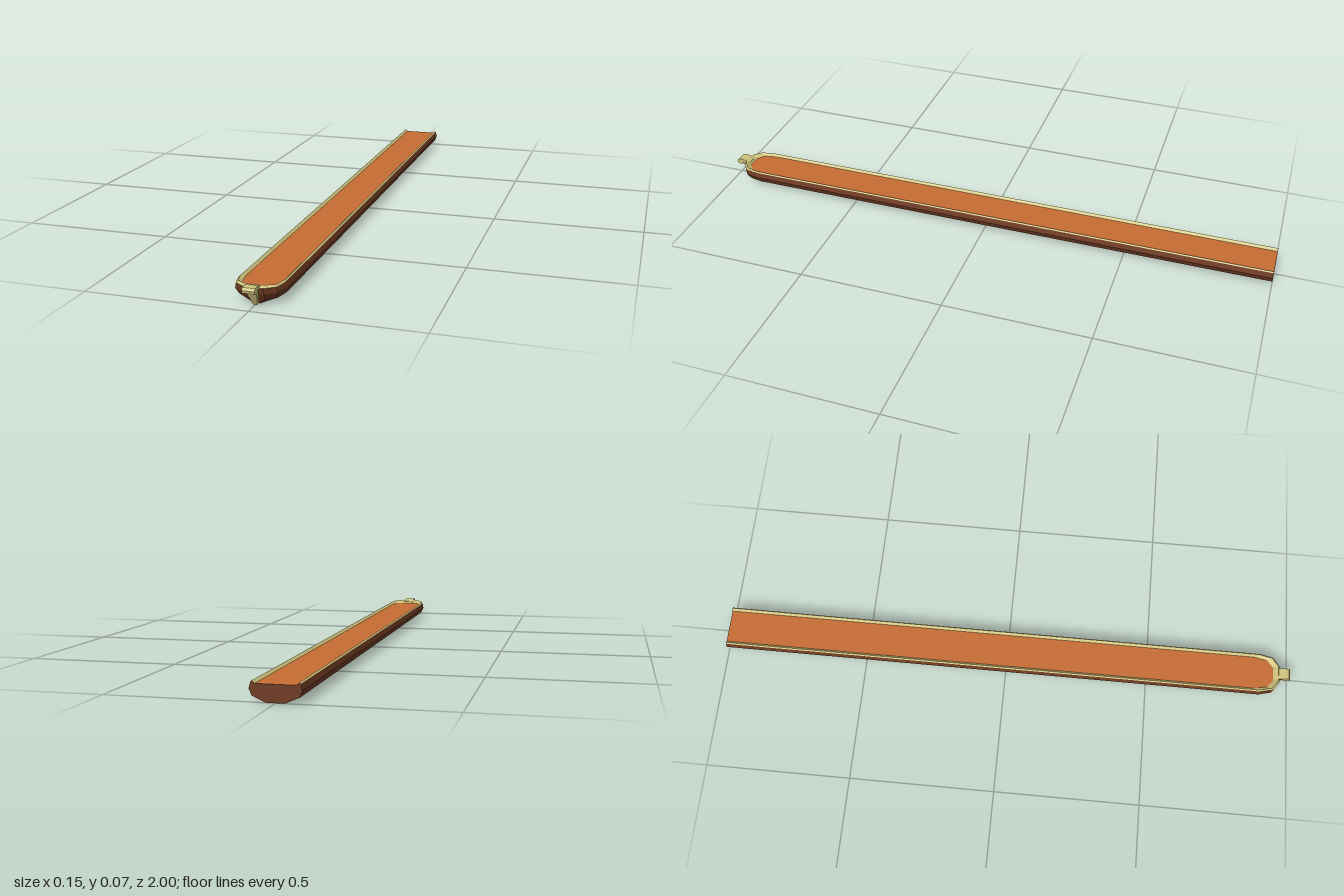
import * as THREE from 'three';

const mat = (name, color) => {
  const m = new THREE.MeshStandardMaterial({ color, side: THREE.DoubleSide, flatShading: true });
  m.name = name;
  return m;
};

// U-shaped outline at one level: half width, nose z, height and extra height at the nose
function outline(hw, nose, y, lift = 0) {
  const half = [[1, null, 0], [1, -0.075, 0], [0.85, -0.03, 0.4], [0.4, -0.008, 1]]
    .map(([f, dz, l]) => new THREE.Vector3(hw * f, y + lift * l, dz === null ? -1 : nose + dz));
  const mirrored = half.slice().reverse().map(p => new THREE.Vector3(-p.x, p.y, p.z));
  return [...half, ...mirrored];
}

// Triangles joining a lower outline to the next one
function band(a, b) {
  const tris = [];
  for (let i = 0; i < a.length - 1; i++) {
    tris.push(a[i], b[i], b[i + 1], a[i], b[i + 1], a[i + 1]);
  }
  return tris;
}

// Fan that fills an outline, facing up or down
function cap(a, up) {
  const tris = [];
  for (let i = 1; i < a.length - 1; i++) {
    tris.push(a[0], ...(up ? [a[i + 1], a[i]] : [a[i], a[i + 1]]));
  }
  return tris;
}

function surface(points) {
  const g = new THREE.BufferGeometry().setFromPoints(points);
  g.computeVertexNormals();
  return g;
}

export function createModel() {
  const group = new THREE.Group();
  const brown = mat('dark brown leather', 0x6e3a22);
  const orange = mat('orange lining', 0xc66c32);
  const gold = mat('pale gold', 0xcfc37c);
  const add = (name, geometry, material) => {
    const mesh = new THREE.Mesh(geometry, material);
    mesh.name = name;
    group.add(mesh);
    return mesh;
  };

  // Faceted shell levels, from the flat bottom up to the rim
  const levels = [
    outline(0.026, 0.946, 0.002),
    outline(0.067, 0.957, 0.02),
    outline(0.075, 0.968, 0.039),
    outline(0.07, 0.972, 0.057),
  ];
  const crest = outline(0.066, 0.966, 0.061, 0.004);
  const inner = outline(0.058, 0.95, 0.053);

  const shell = cap(levels[0], false);
  for (let i = 0; i < 3; i++) shell.push(...band(levels[i], levels[i + 1]));
  add('shell', surface(shell), brown);

  // Flat closed back end
  const side = [...levels, crest, inner].map(l => l[0]);
  const ends = [...side, ...side.slice().reverse().map(p => new THREE.Vector3(-p.x, p.y, p.z))];
  const back = new THREE.ShapeGeometry(new THREE.Shape(ends.map(p => new THREE.Vector2(p.x, p.y))));
  back.rotateY(Math.PI).translate(0, 0, -1);
  add('backEnd', back, brown);

  // Raised rim and the lining inside it
  add('rim', surface([...band(levels[3], crest), ...band(crest, inner)]), gold);
  add('lining', surface(cap(inner, true)), orange);

  // Tapered strap that follows the nose down to the bottom
  const strap = [[0.006, 0.002, 0.951], [0.01, 0.02, 0.962], [0.014, 0.039, 0.973], [0.017, 0.056, 0.978]];
  const strapRow = ([w, y, z]) => [
    new THREE.Vector3(w, y, z - 0.012), new THREE.Vector3(w, y, z),
    new THREE.Vector3(-w, y, z), new THREE.Vector3(-w, y, z - 0.012),
  ];
  const strapTris = [];
  for (let i = 0; i < 3; i++) strapTris.push(...band(strapRow(strap[i]), strapRow(strap[i + 1])));
  add('noseStrap', surface(strapTris), gold);

  // Rolled loop at the tip: a strip curling forward and under
  const curl = new THREE.Shape();
  curl.moveTo(0.948, 0.06);
  [[0.965, 0.066], [0.982, 0.069], [0.994, 0.067], [1.0, 0.06], [0.997, 0.051], [0.988, 0.047],
    [0.978, 0.05], [0.974, 0.057], [0.95, 0.054]].forEach(([z, y]) => curl.lineTo(z, y));
  const loop = new THREE.ExtrudeGeometry(curl, { depth: 0.038, bevelEnabled: false });
  loop.translate(0, 0, -0.019).rotateY(-Math.PI / 2);
  add('tipLoop', loop, gold);

  return group;
}
